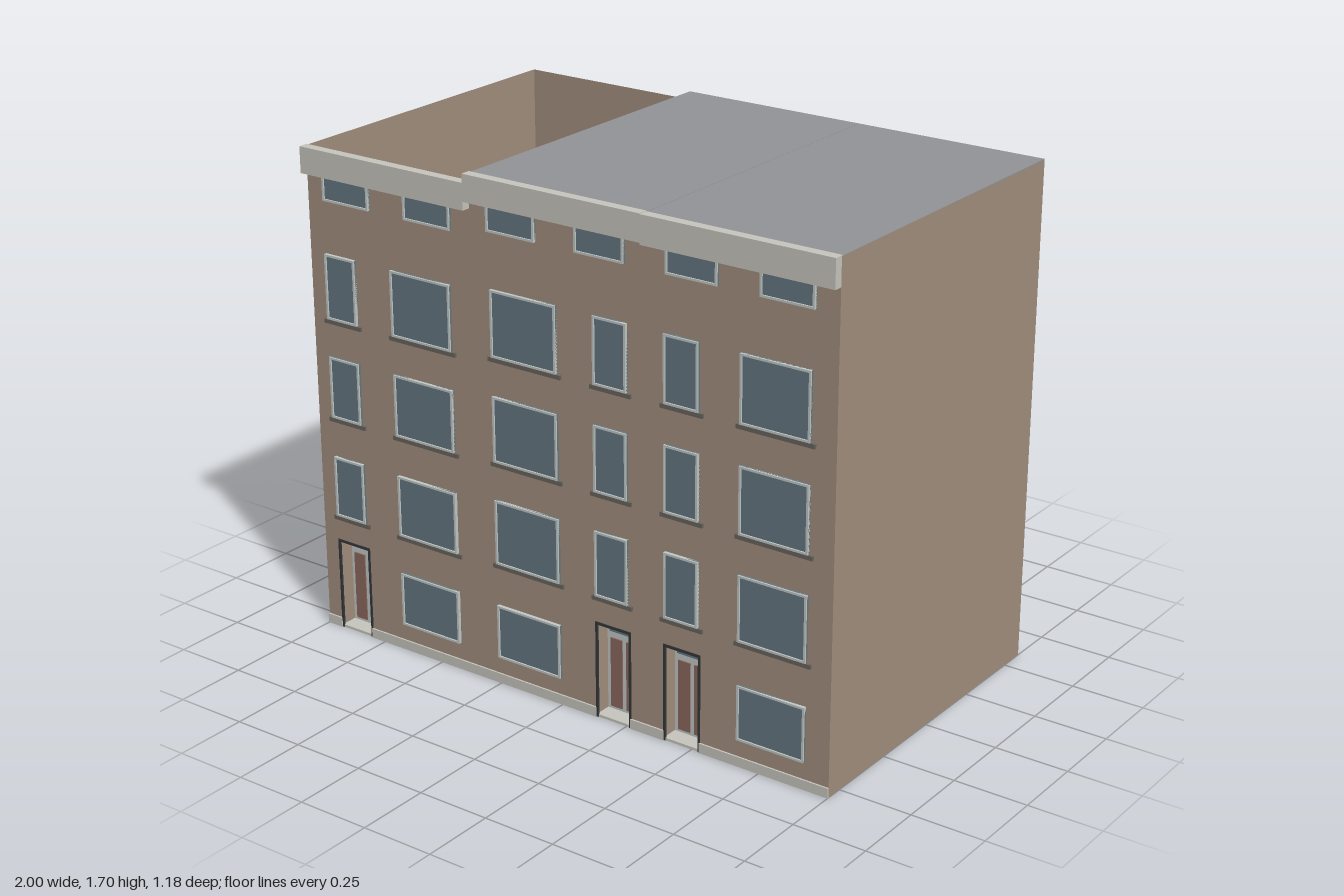
import * as THREE from 'three';

const mat = (name, color, side = THREE.FrontSide) => {
  const m = new THREE.MeshStandardMaterial({ color, side });
  m.name = name;
  return m;
};

export function createModel() {
  const wall = mat('brown brick', 0xa38f7f, THREE.DoubleSide);
  const roofGrey = mat('roof grey', 0x929497);
  const stone = mat('pale stone', 0xc8c7be);
  const glass = mat('blue grey glass', 0x657881);
  const frameMat = mat('window frame', 0xc3cac8);
  const sillMat = mat('sill grey', 0x69645e);
  const doorMat = mat('door red brown', 0x8c685c);
  const dark = mat('dark trim', 0x33373a);

  const model = new THREE.Group();
  model.name = 'rowHouses';
  const BACK = -0.59, FRONT = 0.56, STEP = -0.335, LOW = 1.67, HIGH = 1.698, RECESS = 0.5;

  const add = (parent, name, geo, material) => {
    const m = new THREE.Mesh(geo, material);
    m.name = name;
    parent.add(m);
    return m;
  };
  // box given by its two extremes on each axis
  const box = (parent, name, material, x0, x1, y0, y1, z0, z1) => {
    const m = add(parent, name, new THREE.BoxGeometry(x1 - x0, y1 - y0, z1 - z0), material);
    m.position.set((x0 + x1) / 2, (y0 + y1) / 2, (z0 + z1) / 2);
    return m;
  };
  const polygon = (pts) => new THREE.Shape(pts.map(([x, y]) => new THREE.Vector2(x, y)));
  // rectangular border of width t
  const border = (parent, name, material, x0, x1, y0, y1, z0, depth, t) => {
    const s = polygon([[x0, y0], [x1, y0], [x1, y1], [x0, y1]]);
    s.holes.push(polygon([[x0 + t, y0 + t], [x0 + t, y1 - t], [x1 - t, y1 - t], [x1 - t, y0 + t]]));
    const m = add(parent, name, new THREE.ExtrudeGeometry(s, { depth, bevelEnabled: false }), material);
    m.position.z = z0;
  };
  const sideWall = (name, x, h) => {
    const m = add(model, name, new THREE.PlaneGeometry(FRONT - BACK, h), wall);
    m.rotation.y = Math.PI / 2;
    m.position.set(x, h / 2, (FRONT + BACK) / 2);
  };

  // doors: left, right, top of each opening
  const doors = [[-0.94, -0.805, 0.322], [0.135, 0.268, 0.33], [0.395, 0.53, 0.33]];

  // shell: front wall is notched for the doors, left house has no roof
  const top = [[1, 0], [1, HIGH], [STEP, HIGH], [STEP, LOW], [-1, LOW]];
  const notches = doors.flatMap(([a, b, h]) => [[a, 0], [a, h], [b, h], [b, 0]]);
  add(model, 'frontWall', new THREE.ShapeGeometry(polygon([[-1, 0], ...notches, ...top])), wall).position.z = FRONT;
  add(model, 'backWall', new THREE.ShapeGeometry(polygon([[-1, 0], ...top])), wall).position.z = BACK;
  sideWall('leftEndWall', 1, HIGH);
  sideWall('rightEndWall', -1, LOW);
  sideWall('partyWall', STEP, HIGH);
  const floor = add(model, 'floor', new THREE.PlaneGeometry(2, FRONT - BACK), wall);
  floor.rotation.x = -Math.PI / 2;
  floor.position.set(0, 0.001, (FRONT + BACK) / 2);
  box(model, 'middleRoof', roofGrey, STEP, 0.329, HIGH - 0.006, HIGH, BACK, FRONT);
  box(model, 'endRoof', roofGrey, 0.331, 1, HIGH - 0.006, HIGH, BACK, FRONT);

  // cornices, one per house
  [[-1, STEP, 1.585, 1.673], [STEP, 0.33, 1.613, 1.702], [0.33, 1, 1.607, 1.7]].forEach(([a, b, y0, y1]) =>
    box(model, 'cornice', stone, a, b, y0, y1, 0.556, 0.59));

  // plinth between the doors
  let x = -1;
  [...doors, [1, 1, 0]].forEach(([a, b]) => {
    box(model, 'plinth', stone, x, a, 0, 0.033, FRONT - 0.002, FRONT + 0.006);
    x = b;
  });

  // windows
  const makeWindow = (x0, x1, y0, y1, sill) => {
    const g = new THREE.Group();
    g.name = 'window';
    model.add(g);
    box(g, 'glass', glass, x0, x1, y0, y1, FRONT, FRONT + 0.007);
    border(g, 'frame', frameMat, x0, x1, y0, y1, FRONT, 0.012, 0.007);
    if (sill) box(g, 'sill', sillMat, x0 - 0.015, x1 + 0.015, y0 - 0.016, y0 - 0.002, FRONT - 0.004, FRONT + 0.008);
  };
  const leftCols = [[-0.935, -0.81], [-0.66, -0.418]];
  const rightCols = [[-0.255, -0.003], [0.138, 0.262], [0.4, 0.525], [0.672, 0.915]];
  for (const y of [0.424, 0.774, 1.124]) {
    leftCols.forEach(([a, b]) => makeWindow(a, b, y - (y > 1 ? 0.02 : 0.011), y + 0.2, true));
    rightCols.forEach(([a, b]) => makeWindow(a, b, y, y + 0.22, true));
  }
  [leftCols[1], rightCols[0], rightCols[3]].forEach(([a, b]) => makeWindow(a, b, 0.093, 0.278, false));
  [[-0.93, -0.74], [-0.595, -0.408]].forEach(([a, b]) => makeWindow(a, b, 1.502, 1.586, false));
  [[-0.263, -0.078], [0.073, 0.255], [0.406, 0.59], [0.737, 0.922]].forEach(([a, b]) => makeWindow(a, b, 1.528, 1.614, false));

  // recessed double doors with transom lights
  doors.forEach(([a, b, h]) => {
    const g = new THREE.Group();
    g.name = 'door';
    model.add(g);
    const mid = (a + b) / 2, z = RECESS;
    box(g, 'rightJamb', wall, a - 0.004, a, 0, h, z, FRONT - 0.001);
    box(g, 'leftJamb', wall, b, b + 0.004, 0, h, z, FRONT - 0.001);
    box(g, 'lintel', wall, a, b, h, h + 0.004, z, FRONT - 0.001);
    box(g, 'threshold', stone, a, b, -0.0005, 0.008, z, FRONT);
    box(g, 'doorFrame', frameMat, a, b, 0, h, z - 0.004, z + 0.002);
    box(g, 'transom', glass, a + 0.01, b - 0.01, 0.28, h - 0.012, z, z + 0.005);
    [[a + 0.014, mid - 0.008], [mid + 0.008, b - 0.014]].forEach(([p, q]) =>
      box(g, 'doorLeaf', doorMat, p, q, 0.018, 0.258, z, z + 0.006));
    // dark trim around the opening
    box(g, 'rightTrim', dark, a - 0.002, a + 0.006, 0, h, FRONT - 0.004, FRONT + 0.003);
    box(g, 'leftTrim', dark, b - 0.006, b + 0.002, 0, h, FRONT - 0.004, FRONT + 0.003);
    box(g, 'topTrim', dark, a - 0.002, b + 0.002, h - 0.007, h + 0.002, FRONT - 0.004, FRONT + 0.003);
  });

  return model;
}
